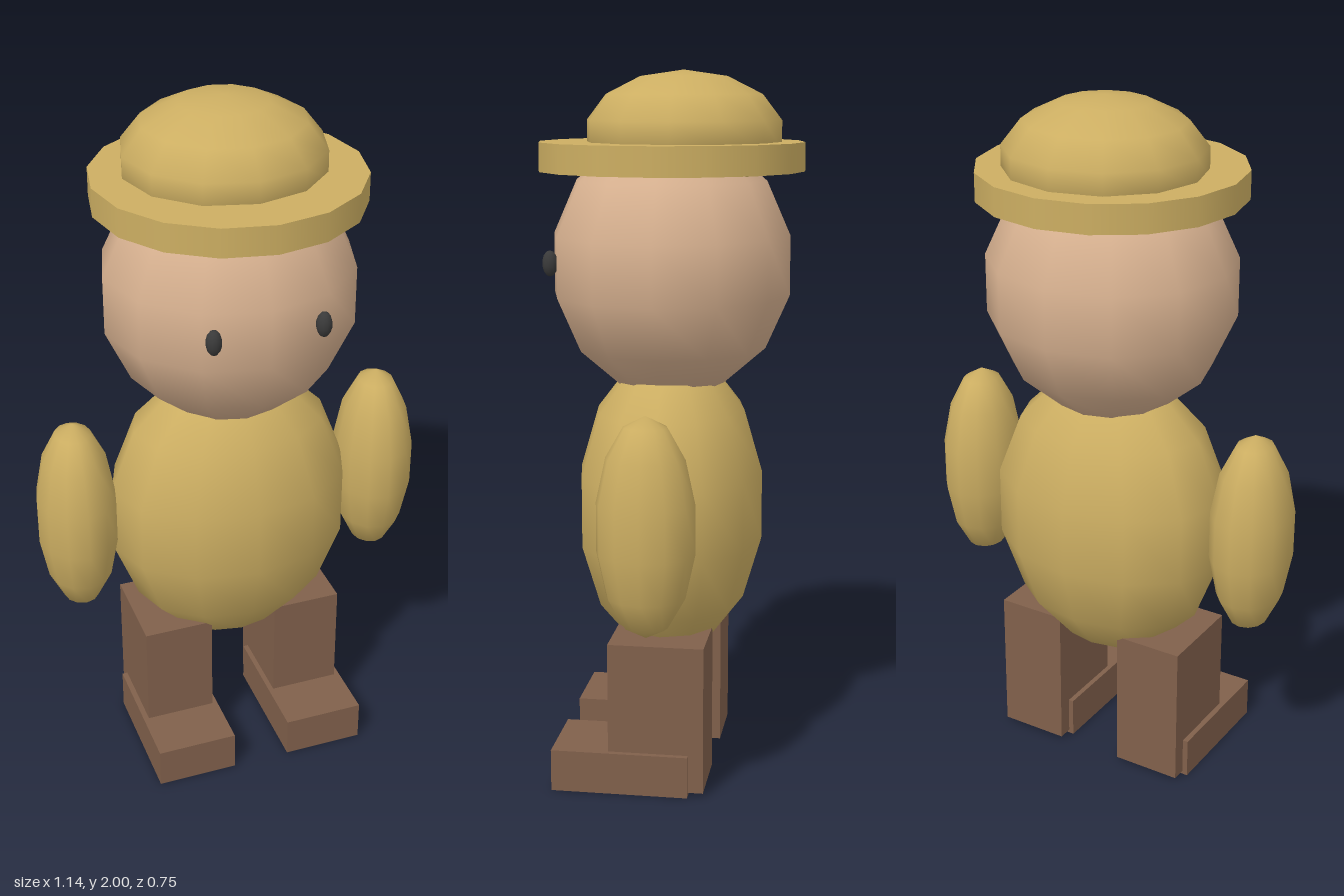
import * as THREE from 'three';

const mat = (color) => new THREE.MeshStandardMaterial({ color });

export function createModel() {
  const model = new THREE.Group();
  model.name = 'figure';
  const cloth = mat(0xccae62), skin = mat(0xd6b08f), brown = mat(0x80604b), dark = mat(0x3a3a3a);

  const add = (name, geometry, material, x, y, z) => {
    const mesh = new THREE.Mesh(geometry, material);
    mesh.name = name;
    mesh.position.set(x, y, z);
    model.add(mesh);
    return mesh;
  };
  // low-poly ball stretched to three radii
  const ball = (name, material, [x, y, z], [rx, ry, rz]) =>
    add(name, new THREE.SphereGeometry(1, 12, 7).scale(rx, ry, rz), material, x, y, z);
  // box given by its lower and upper corners
  const box = (name, material, a, b) =>
    add(name, new THREE.BoxGeometry(b[0] - a[0], b[1] - a[1], b[2] - a[2]), material,
      (a[0] + b[0]) / 2, (a[1] + b[1]) / 2, (a[2] + b[2]) / 2);

  // body and head
  ball('body', cloth, [0, 0.775, 0], [0.362, 0.445, 0.27]);
  ball('head', skin, [0, 1.465, 0], [0.363, 0.375, 0.344]);

  // hat
  add('hatBrim', new THREE.CylinderGeometry(0.373, 0.373, 0.08, 16), cloth, 0, 1.765, 0);
  ball('hatCrown', cloth, [0, 1.825, -0.035], [0.287, 0.175, 0.28]);

  // paired parts
  for (const [side, s] of [['left', 1], ['right', -1]]) {
    ball(side + 'Eye', dark, [s * 0.152, 1.477, 0.315], [0.022, 0.036, 0.022]);
    ball(side + 'Arm', cloth, [s * 0.458, 0.817, 0], [0.117, 0.302, 0.136]);
    const leg = box(side + 'Leg', brown, [0.1, 0.01, -0.135], [0.304, 0.435, 0.135]);
    const foot = box(side + 'Foot', brown, [0.085, 0, -0.092], [0.32, 0.12, 0.296]);
    leg.position.x *= s;
    foot.position.x *= s;
  }
  return model;
}
